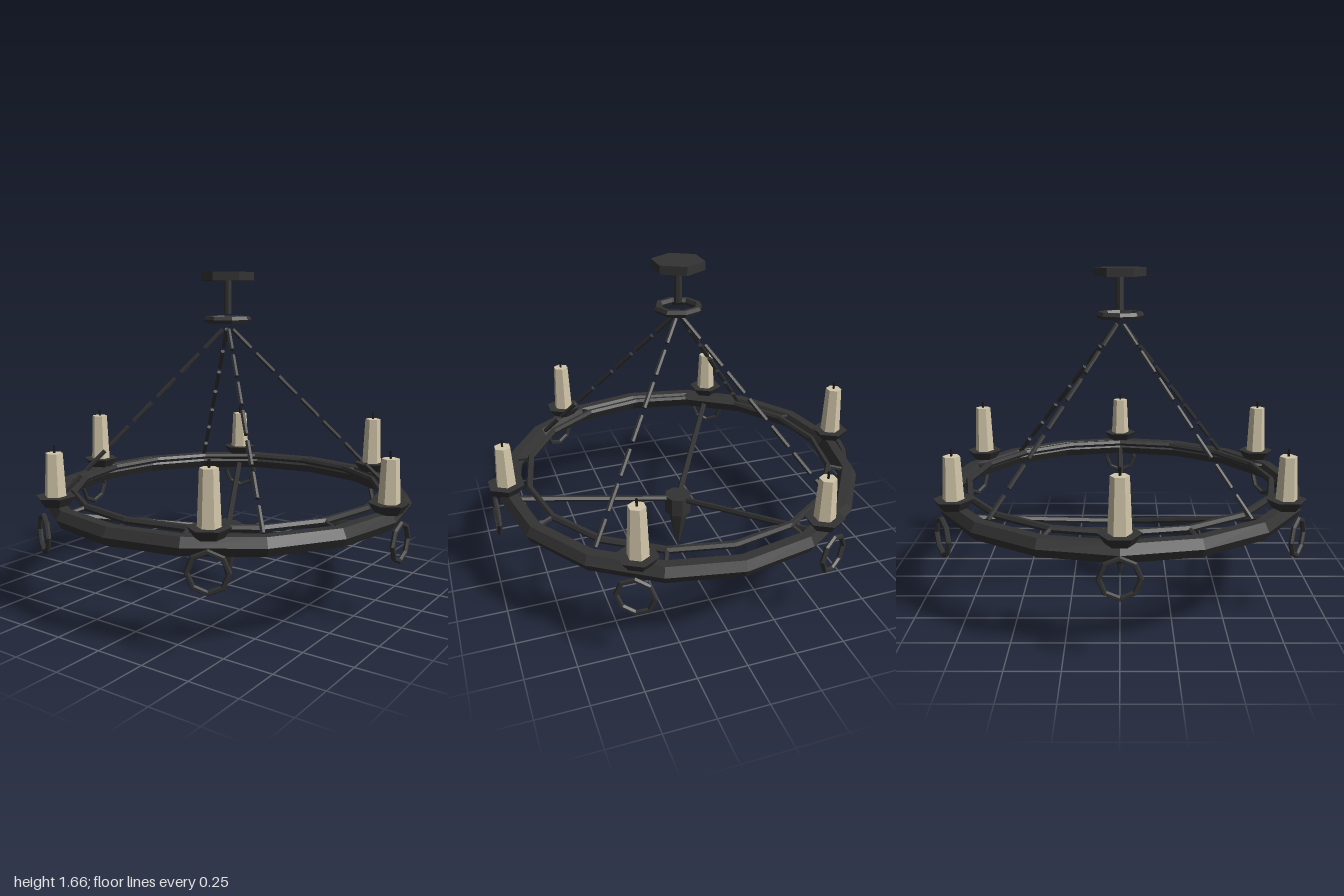
import * as THREE from 'three';

export function createModel() {
  const group = new THREE.Group();
  const material = (name, color) => {
    const m = new THREE.MeshStandardMaterial({ color, flatShading: true });
    m.name = name;
    return m;
  };
  const iron = material('wrought iron', 0x333333);
  const wax = material('candle wax', 0xd2c7aa);
  const wickBlack = material('wick black', 0x1c1a18);

  const add = (name, geometry, mat = iron, parent = group) => {
    const mesh = new THREE.Mesh(geometry, mat);
    mesh.name = name;
    parent.add(mesh);
    return mesh;
  };
  // Upright prism or frustum between two heights
  const post = (name, rTop, rBottom, y0, y1, sides, mat, parent) => {
    const mesh = add(name, new THREE.CylinderGeometry(rTop, rBottom, y1 - y0, sides), mat, parent);
    mesh.position.y = (y0 + y1) / 2;
    return mesh;
  };
  // Straight bar between two points
  const bar = (name, a, b, radius) => {
    const dir = b.clone().sub(a);
    const mesh = add(name, new THREE.CylinderGeometry(radius, radius, dir.length(), 6));
    mesh.position.copy(a).lerp(b, 0.5);
    mesh.quaternion.setFromUnitVectors(new THREE.Vector3(0, 1, 0), dir.normalize());
    return mesh;
  };
  const hoop = (name, R, r, y, segments) => {
    const mesh = add(name, new THREE.TorusGeometry(R, r, 6, segments).rotateX(Math.PI / 2));
    mesh.position.y = y;
    return mesh;
  };
  const polar = (radius, angle, y) =>
    new THREE.Vector3(radius * Math.cos(angle), y, radius * Math.sin(angle));

  // Ceiling plate, stem and suspension ring
  post('ceilingPlate', 0.133, 0.133, 1.617, 1.66, 6);
  post('stem', 0.02, 0.02, 1.45, 1.62, 8);
  hoop('suspensionRing', 0.104, 0.02, 1.422, 8);

  // Outer and inner wheel rims joined by short struts
  hoop('outerRim', 0.905, 0.05, 0.507, 16);
  hoop('innerRim', 0.802, 0.018, 0.55, 16);
  for (let i = 0; i < 8; i++) {
    const a = (i + 0.5) * Math.PI / 4;
    bar('rimStrut', polar(0.8, a, 0.55), polar(0.9, a, 0.53), 0.012);
  }

  // Four chains of separate links
  const links = 7;
  for (let i = 0; i < 4; i++) {
    const a = (i + 0.5) * Math.PI / 2;
    const top = polar(0.012, a, 1.385);
    const bottom = polar(0.87, a, 0.53);
    for (let k = 0; k < links; k++) {
      bar('chainLink', top.clone().lerp(bottom, (k + 0.11) / links),
        top.clone().lerp(bottom, (k + 0.89) / links), 0.012);
    }
  }

  // Central hub, pointed finial and three spokes
  post('hub', 0.075, 0.075, 0.245, 0.345, 8);
  post('finial', 0, 0.06, 0, 0.25, 6).rotation.x = Math.PI;
  for (let i = 0; i < 3; i++) {
    const a = i * Math.PI * 2 / 3;
    bar('spoke', polar(0.03, a, 0.325), polar(0.89, a, 0.497), 0.016);
  }

  // Six candles on cups, alternately short and tall, each with a hanging ring
  for (let i = 0; i < 6; i++) {
    const a = i * Math.PI / 3;
    const top = i % 2 ? 0.847 : 0.805;
    const holder = new THREE.Group();
    holder.name = 'candleHolder';
    holder.position.copy(polar(0.915, a, 0));
    group.add(holder);
    post('cup', 0.098, 0.065, 0.548, 0.595, 6, iron, holder);
    post('candle', 0.042, 0.053, 0.59, top, 6, wax, holder);
    post('wick', 0.006, 0.006, top, top + 0.036, 5, wickBlack, holder);

    const ring = add('hangingRing', new THREE.TorusGeometry(0.09, 0.013, 6, 8));
    ring.position.copy(polar(0.977, a, 0.415));
    ring.rotation.y = Math.PI / 2 - a;
  }
  return group;
}
